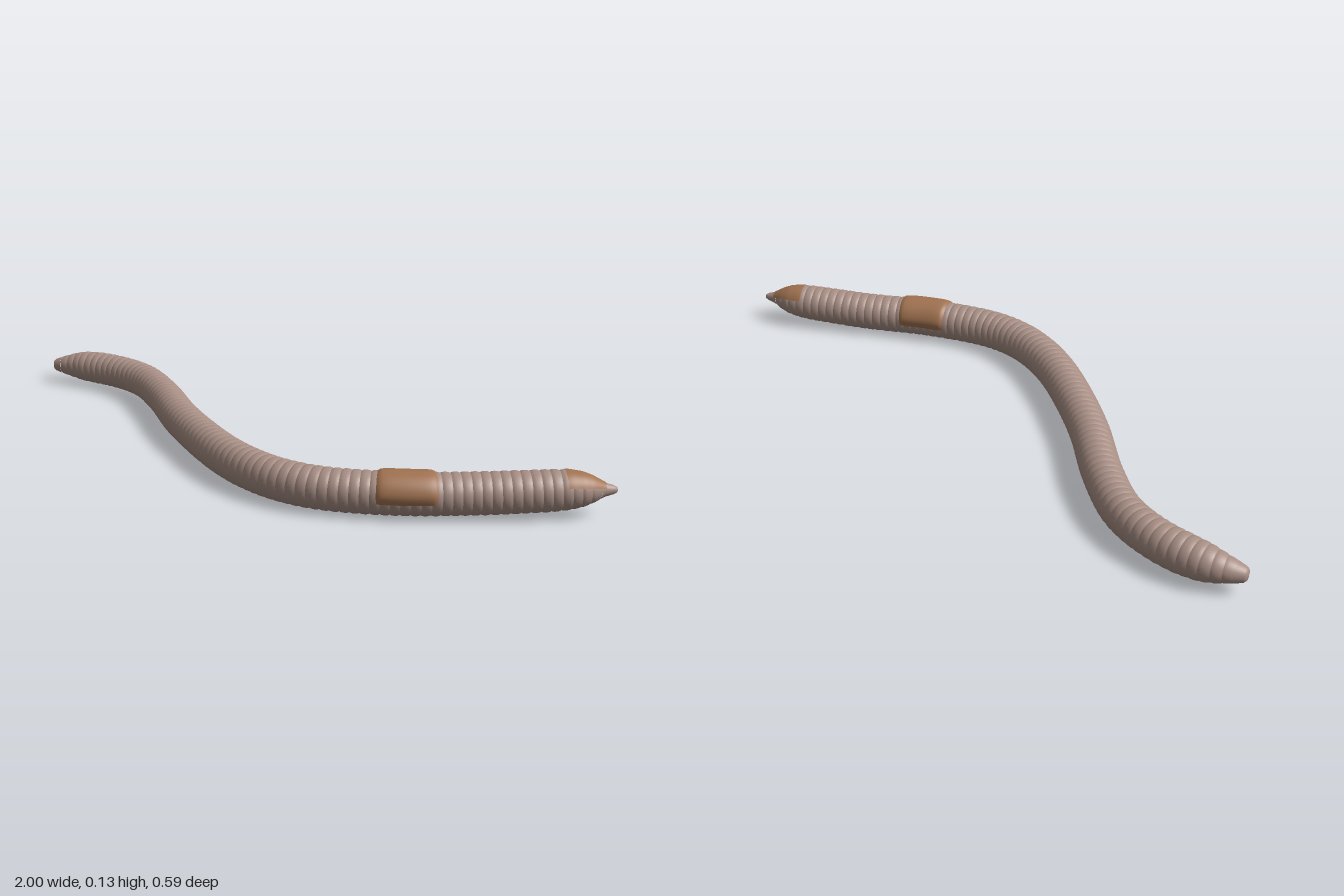
import * as THREE from 'three';

const body = new THREE.MeshStandardMaterial({ color: 0xa88f85 });
body.name = 'pinkish skin';
const brown = new THREE.MeshStandardMaterial({ color: 0xa27351 });
brown.name = 'brown skin';

// Centre line from tail to head
const path = new THREE.CatmullRomCurve3([
  [-1, 0.057, -0.193], [-0.9, 0.06, -0.23], [-0.77, 0.061, -0.245], [-0.63, 0.061, -0.22],
  [-0.48, 0.06, -0.135], [-0.3, 0.06, 0.0], [-0.15, 0.06, 0.095], [0, 0.06, 0.175],
  [0.11, 0.06, 0.215], [0.22, 0.06, 0.233], [0.34, 0.06, 0.22], [0.53, 0.06, 0.135],
  [0.7, 0.062, 0.02], [0.82, 0.069, -0.06], [0.91, 0.075, -0.12], [1, 0.077, -0.176],
].map((p) => new THREE.Vector3(...p)));
path.arcLengthDivisions = 1000;
const LENGTH = path.getLength();

// Curve position at a given x, as x always grows along the worm
function uAtX(x) {
  let lo = 0, hi = 1;
  for (let i = 0; i < 30; i++) {
    const mid = (lo + hi) / 2;
    if (path.getPointAt(mid).x < x) lo = mid; else hi = mid;
  }
  return lo;
}

function lerpTable(table, v) {
  for (let i = 1; i < table.length; i++) {
    const [a, ra] = table[i - 1], [b, rb] = table[i];
    if (v <= b) return ra + (rb - ra) * Math.max(0, (v - a) / (b - a));
  }
  return table[table.length - 1][1];
}

// Radius against distance from each end
const tailShape = [[0, 0], [0.002, 0.014], [0.008, 0.02], [0.03, 0.028], [0.07, 0.04], [0.11, 0.049], [0.17, 0.053], [0.7, 0.056], [1.2, 0.0585]];
const headShape = [[0, 0], [0.003, 0.007], [0.012, 0.012], [0.035, 0.019], [0.045, 0.025], [0.065, 0.036], [0.09, 0.046], [0.125, 0.053], [0.17, 0.056], [0.3, 0.0575], [0.6, 0.0585]];
const radius = (u) => Math.min(lerpTable(tailShape, u * LENGTH), lerpTable(headShape, (1 - u) * LENGTH));

// Sweep strip: stations along the worm, angles from side (0) over the top (PI/2)
function sweep(pos, index, us, rFn, angles, closed) {
  const base = pos.length / 3, n = angles.length;
  const up = new THREE.Vector3(0, 1, 0);
  us.forEach((u, i) => {
    const c = path.getPointAt(u), t = path.getTangentAt(u);
    const side = new THREE.Vector3().crossVectors(t, up).normalize();
    const top = new THREE.Vector3().crossVectors(side, t);
    angles.forEach((a, j) => {
      const r = rFn(u, i / (us.length - 1), a);
      const p = c.clone().addScaledVector(side, r * Math.cos(a)).addScaledVector(top, r * Math.sin(a));
      pos.push(p.x, p.y, p.z);
    });
  });
  for (let i = 0; i < us.length - 1; i++) {
    for (let j = 0; j < (closed ? n : n - 1); j++) {
      const k = (j + 1) % n, a = base + i * n, b = a + n;
      index.push(a + j, b + j, b + k, a + j, b + k, a + k);
    }
  }
}

function makeMesh(name, pos, index, material) {
  const g = new THREE.BufferGeometry();
  g.setAttribute('position', new THREE.Float32BufferAttribute(pos, 3));
  g.setIndex(index);
  g.computeVertexNormals();
  const m = new THREE.Mesh(g, material);
  m.name = name;
  return m;
}

const range = (a, b, n) => Array.from({ length: n + 1 }, (_, i) => a + (b - a) * i / n);

// Body: separate bulging rings so that every groove stays sharp
function ringedBody() {
  const RINGS = 84, SIDES = 32, pos = [], index = [];
  const angles = range(0, Math.PI * 2, SIDES).slice(0, SIDES);
  const tipStart = 1 - 0.045 / LENGTH, tailEnd = 0.03 / LENGTH;
  const ringRadius = (u, f) => radius(u) * (0.95 + 0.05 * Math.sqrt(Math.sin(Math.PI * Math.min(1, Math.max(0, f)))));
  const cuts = range(tailEnd, tipStart, RINGS);
  for (let i = 0; i < RINGS; i++) {
    sweep(pos, index, range(cuts[i], cuts[i + 1], 6), ringRadius, angles, true);
  }
  // Smooth tail stub and pointed snout
  const stub = tailShape.slice(0, 4).map(([d]) => d / LENGTH);
  const snout = headShape.slice(0, 5).map(([d]) => 1 - d / LENGTH).reverse();
  sweep(pos, index, stub, radius, angles, true);
  sweep(pos, index, snout, radius, angles, true);
  return makeMesh('ringedBody', pos, index, body);
}

// Raised saddle band, open along the belly
function saddle() {
  const pos = [], index = [];
  const low = -0.16, high = Math.PI - low;
  const us = range(uAtX(0.475), uAtX(0.61), 20);
  const r = (u, f, a) => {
    const ends = Math.pow(Math.max(0, 1 - Math.pow(Math.abs(2 * f - 1), 6)), 0.5);
    const edge = Math.min(1, (Math.min(a - low, high - a)) / 0.35);
    return radius(u) - 0.002 + 0.009 * ends * (0.35 + 0.65 * edge);
  };
  sweep(pos, index, us, r, range(low, high, 28), false);
  return makeMesh('saddleBand', pos, index, brown);
}

// Brown patch over the top of the head
function headPatch() {
  const pos = [], index = [];
  const us = range(uAtX(0.885), uAtX(0.972), 16);
  sweep(pos, index, us, (u) => radius(u) + 0.0015, range(0.42, Math.PI - 0.42, 20), false);
  return makeMesh('headPatch', pos, index, brown);
}

export function createModel() {
  const worm = new THREE.Group();
  worm.name = 'earthworm';
  worm.add(ringedBody(), saddle(), headPatch());
  return worm;
}
